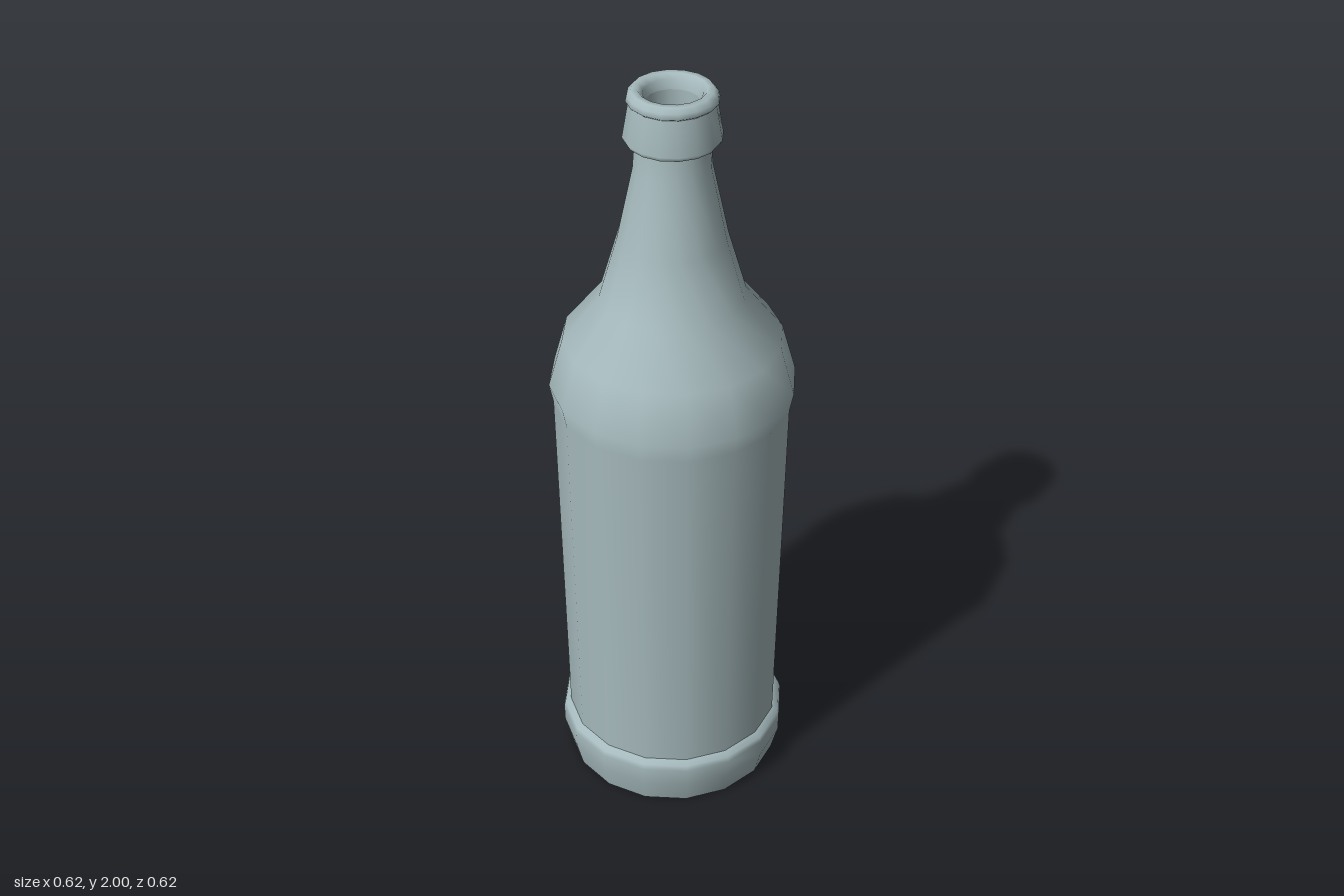
import * as THREE from 'three';

export function createModel() {
  const bottle = new THREE.Group();
  bottle.name = 'bottle';
  const glass = new THREE.MeshStandardMaterial({ color: 0xa6babd, side: THREE.DoubleSide });

  // Revolves a [radius, height] profile; separate bands keep hard edges between them
  function turned(name, profile) {
    const points = profile.map(([r, y]) => new THREE.Vector2(r, y));
    const mesh = new THREE.Mesh(new THREE.LatheGeometry(points, 16), glass);
    mesh.name = name;
    bottle.add(mesh);
  }

  // Underside with a shallow hollow
  turned('underside', [[0, 0.02], [0.17, 0.015], [0.285, 0.005], [0.285, 0]].slice(0, 2).concat([[0.285, 0]]));

  // Raised foot band
  turned('footBand', [[0.285, 0], [0.303, 0.07], [0.304, 0.12], [0.3, 0.135], [0.284, 0.145]]);

  // Gently flaring body, shoulder and neck
  turned('body', [
    [0.284, 0.14], [0.302, 1.15], [0.312, 1.2], [0.276, 1.33],
    [0.182, 1.45], [0.136, 1.61], [0.096, 1.8], [0.09, 1.88],
  ]);

  // Collar below the mouth
  turned('collarUnderside', [[0.09, 1.88], [0.113, 1.87]]);
  turned('collar', [[0.113, 1.87], [0.12, 1.882], [0.105, 1.97]]);

  // Rounded lip turning into the mouth
  turned('lip', [
    [0.105, 1.97], [0.111, 1.975], [0.108, 1.988], [0.098, 2],
    [0.082, 2], [0.071, 1.988], [0.066, 1.965],
  ]);

  // Inner wall and floor
  turned('innerWall', [
    [0.066, 1.965], [0.066, 1.8], [0.106, 1.61], [0.152, 1.45],
    [0.246, 1.32], [0.28, 1.2], [0.27, 1.15], [0.255, 0.05],
  ]);
  turned('innerFloor', [[0.255, 0.05], [0, 0.05]]);

  return bottle;
}
